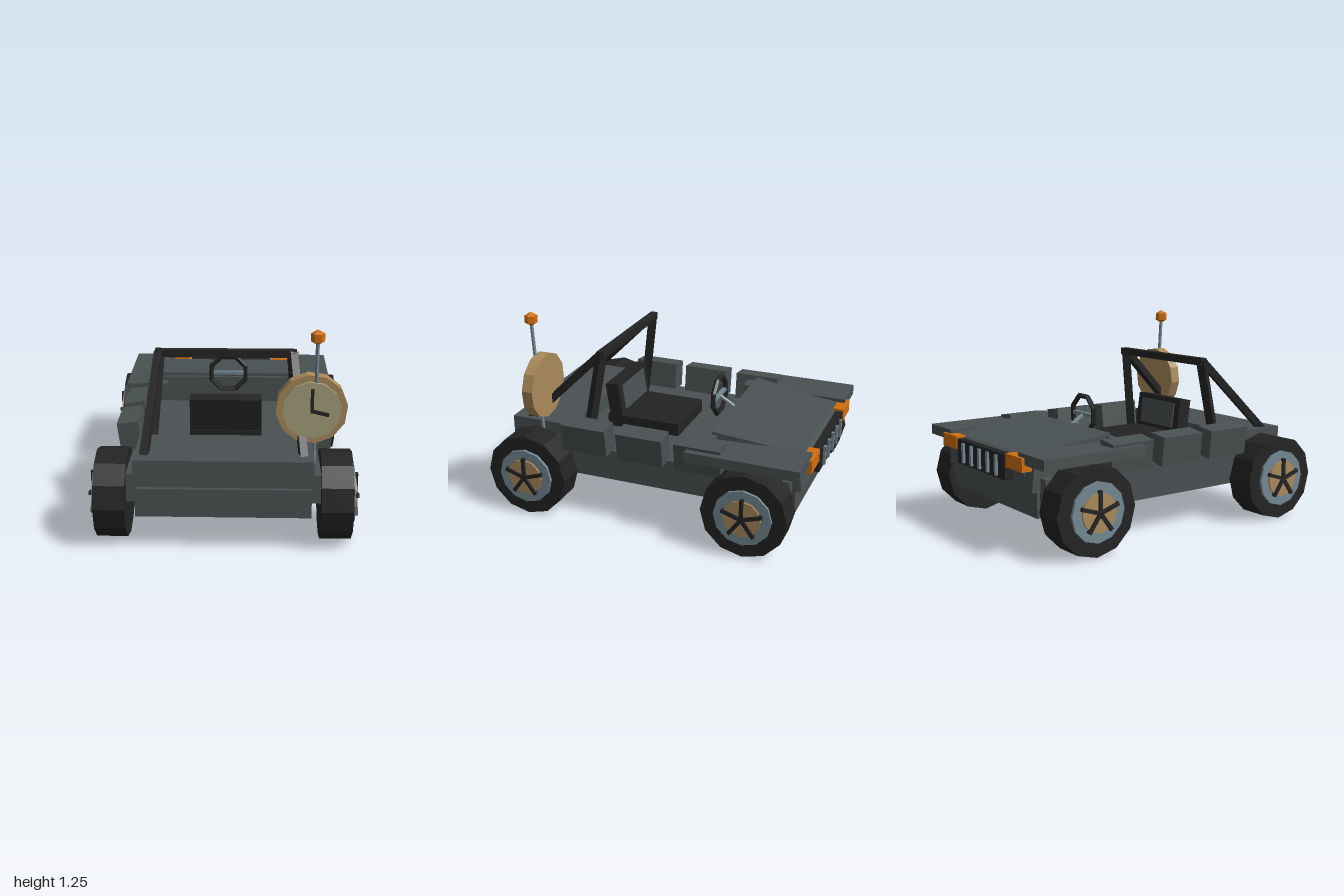
import * as THREE from 'three';

const mat = (name, color, flat = true) => {
  const m = new THREE.MeshStandardMaterial({ color, flatShading: flat });
  m.name = name;
  return m;
};

export function createModel() {
  const body = mat('bodyGrey', 0x4a5152);
  const black = mat('black', 0x242424);
  const steel = mat('steelBlue', 0x748994);
  const tan = mat('tan', 0xab8a5c);
  const cream = mat('cream', 0xa8a27e);
  const amber = mat('amber', 0xd0700f);

  const model = new THREE.Group();
  model.name = 'buggy';

  const add = (name, geo, m, x = 0, y = 0, z = 0, parent = model) => {
    const mesh = new THREE.Mesh(geo, m);
    mesh.name = name;
    mesh.position.set(x, y, z);
    parent.add(mesh);
    return mesh;
  };
  // box given by its min and max corners
  const box = (name, m, x0, x1, y0, y1, z0, z1, parent = model) =>
    add(name, new THREE.BoxGeometry(x1 - x0, y1 - y0, z1 - z0), m,
      (x0 + x1) / 2, (y0 + y1) / 2, (z0 + z1) / 2, parent);
  // straight bar between two points, square or round
  const bar = (name, m, a, b, t, round = false, parent = model) => {
    const p = new THREE.Vector3(...a), q = new THREE.Vector3(...b);
    const len = p.distanceTo(q);
    const geo = round ? new THREE.CylinderGeometry(t / 2, t / 2, len, 6) : new THREE.BoxGeometry(t, len, t);
    const mesh = add(name, geo, m, 0, 0, 0, parent);
    mesh.position.copy(p).add(q).multiplyScalar(0.5);
    mesh.quaternion.setFromUnitVectors(new THREE.Vector3(0, 1, 0), q.sub(p).normalize());
    return mesh;
  };
  // side profile in [z, y], extruded across the width
  const profile = (name, m, pts, halfWidth) => {
    const s = new THREE.Shape(pts.map(([z, y]) => new THREE.Vector2(-z, y)));
    const geo = new THREE.ExtrudeGeometry(s, { depth: halfWidth * 2, bevelEnabled: false });
    geo.translate(0, 0, -halfWidth).rotateY(Math.PI / 2);
    return add(name, geo, m);
  };

  // Body tub, sills and rear deck
  box('lowerTub', body, -0.495, 0.495, 0.21, 0.38, -0.9, 0.965);
  box('sills', body, -0.555, 0.555, 0.27, 0.44, -0.88, 0.9);
  box('rearDeck', body, -0.505, 0.505, 0.36, 0.54, 0.545, 0.943);

  // Nose and bonnet
  profile('nose', body, [[-0.4, 0.36], [-0.4, 0.53], [-0.915, 0.53], [-0.935, 0.36]], 0.5);
  const bonnet = profile('bonnet', body,
    [[-0.37, 0.44], [-0.37, 0.63], [-0.91, 0.56], [-0.95, 0.545], [-0.93, 0.44]], 0.41);
  // widen the bonnet towards the cockpit
  const bp = bonnet.geometry.attributes.position;
  for (let i = 0; i < bp.count; i++) if (bp.getZ(i) > -0.4) bp.setX(i, bp.getX(i) * 1.1);
  bonnet.geometry.computeVertexNormals();
  box('dashboard', body, -0.5, 0.5, 0.44, 0.61, -0.4, -0.345);

  // Grille and front lamps
  box('grille', black, -0.29, 0.29, 0.4, 0.55, -0.985, -0.92);
  for (let i = -2; i <= 2; i++)
    box('grilleBar', steel, i * 0.1 - 0.011, i * 0.1 + 0.011, 0.415, 0.535, -1, -0.98);

  for (const s of [-1, 1]) {
    const lamp = box('lamp', amber, -0.09, 0.09, 0.48, 0.56, -0.985, -0.92);
    lamp.position.x = s * 0.39;
    const fender = box('frontFender', body, -0.135, 0.135, 0.52, 0.583, -0.967, -0.28);
    fender.position.x = s * 0.545;
    // Leaning side panels
    for (const [z0, z1] of [[0.245, 0.535], [-0.12, 0.172], [-0.485, -0.197]]) {
      const pod = box('sidePanel', body, -0.063, 0.063, 0.433, 0.609, z0, z1);
      pod.position.x = s * 0.568;
      pod.rotation.z = -s * 0.13;
    }
    // Roll cage legs
    bar('rollBarUpright', black, [s * 0.395, 1.0, 0.365], [s * 0.445, 0.44, 0.45], 0.05);
    bar('rollBarBrace', black, [s * 0.4, 0.995, 0.37], [s * 0.45, 0.52, 0.85], 0.045);
  }
  box('rollBarTop', black, -0.42, 0.42, 0.97, 1.015, 0.343, 0.388);

  // Seat
  box('seatCushion', black, -0.215, 0.215, 0.435, 0.52, -0.06, 0.42);
  const back = new THREE.Group();
  back.name = 'seatBack';
  back.position.set(0, 0.48, 0.345);
  back.rotation.x = 0.14;
  model.add(back);
  box('backrest', black, -0.215, 0.215, -0.03, 0.25, -0.03, 0.055, back);
  box('backrestPanel', body, -0.165, 0.165, 0.06, 0.22, -0.038, -0.03, back);

  // Steering wheel
  const steering = add('steeringWheel', new THREE.TorusGeometry(0.12, 0.017, 5, 8), black, 0, 0.67, -0.255);
  steering.rotation.z = Math.PI / 8;
  bar('steeringSpoke', steel, [-0.11, 0.67, -0.255], [0.11, 0.67, -0.255], 0.022);
  bar('steeringColumn', steel, [0, 0.67, -0.25], [0, 0.59, -0.38], 0.026, true);

  // Clock on the rear left corner
  const clock = new THREE.Group();
  clock.name = 'clock';
  clock.position.set(0.493, 0.782, 0.722);
  model.add(clock);
  const disc = (name, r, t, m, z) => {
    const geo = new THREE.CylinderGeometry(r, r, t, 12);
    geo.rotateY(0.12).rotateX(Math.PI / 2);
    add(name, geo, m, 0, 0, z, clock);
  };
  disc('clockCase', 0.204, 0.068, tan, 0);
  disc('clockFace', 0.168, 0.02, cream, 0.043);
  bar('minuteHand', black, [0, -0.01, 0.06], [0, 0.13, 0.06], 0.018, false, clock);
  bar('hourHand', black, [0, 0, 0.06], [0.095, -0.023, 0.06], 0.018, false, clock);

  // Aerial
  bar('aerial', steel, [0.515, 0.42, 0.722], [0.515, 1.19, 0.768], 0.024, true);
  add('aerialTip', new THREE.SphereGeometry(0.045, 6, 3), amber, 0.515, 1.207, 0.768);

  // Wheels
  const wheelDisc = (name, r, x0, x1, m, parent) => {
    const geo = new THREE.CylinderGeometry(r, r, x1 - x0, 12);
    geo.rotateZ(-Math.PI / 2);
    add(name, geo, m, (x0 + x1) / 2, 0, 0, parent);
  };
  for (const s of [-1, 1]) for (const z of [0.74, -0.66]) {
    const wheel = new THREE.Group();
    wheel.name = 'wheel';
    wheel.position.set(s * 0.64, 0.263, z);
    if (s < 0) wheel.rotation.y = Math.PI;
    model.add(wheel);
    wheelDisc('tyre', 0.261, -0.09, 0.09, black, wheel);
    wheelDisc('rim', 0.175, 0.08, 0.107, steel, wheel);
    wheelDisc('hub', 0.115, 0.1, 0.118, tan, wheel);
    for (let i = 0; i < 5; i++) {
      const a = i * Math.PI * 2 / 5;
      bar('spoke', black, [0.12, 0, 0], [0.12, Math.cos(a) * 0.128, Math.sin(a) * 0.128], 0.022, false, wheel);
    }
  }
  return model;
}
